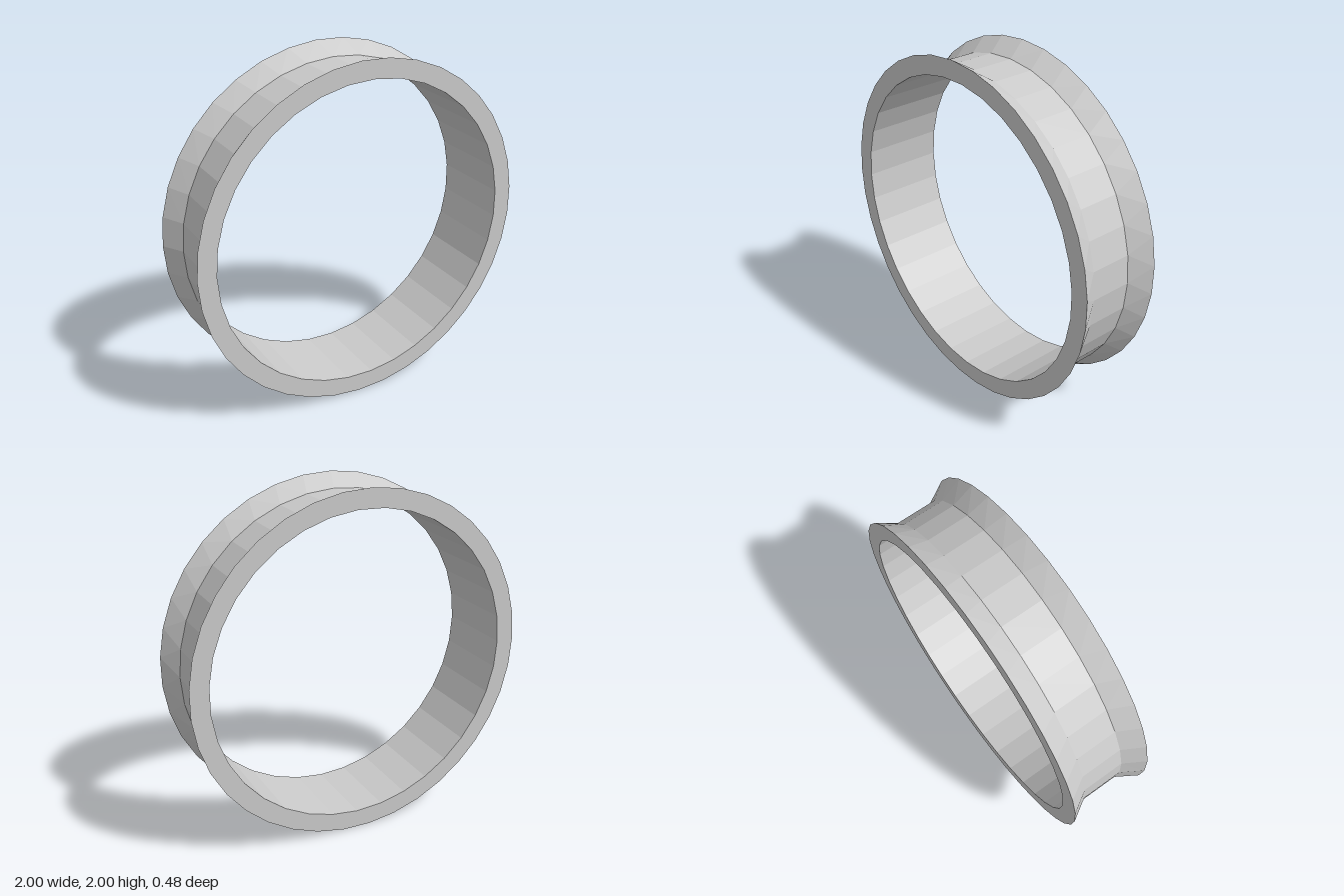
import * as THREE from 'three';

// Stitch two circular loops, which may differ in number of sides, into a faceted band
function band(a, b) {
  const point = (loop, i) => {
    const t = Math.PI + ((i % loop.sides) / loop.sides) * Math.PI * 2;
    return [loop.r * Math.cos(t), loop.r * Math.sin(t), loop.z];
  };
  const positions = [];
  let i = 0, j = 0;
  while (i < a.sides || j < b.sides) {
    const stepA = j === b.sides || (i < a.sides && (i + 1) / a.sides <= (j + 1) / b.sides);
    positions.push(...point(a, i), ...point(b, j));
    positions.push(...(stepA ? point(a, ++i) : point(b, ++j)));
  }
  const geometry = new THREE.BufferGeometry();
  geometry.setAttribute('position', new THREE.Float32BufferAttribute(positions, 3));
  geometry.computeVertexNormals();
  return geometry;
}

export function createModel() {
  const group = new THREE.Group();
  group.name = 'groovedRing';
  const material = new THREE.MeshStandardMaterial({ color: 0xcccccc, flatShading: true });

  // Closed cross-section; each entry is a loop and the band that follows it
  const halfWidth = 0.238, halfGroove = 0.12;
  const profile = [
    { r: 1.001, z: halfWidth, sides: 37, name: 'frontFlange' },
    { r: 0.93, z: halfGroove, sides: 36, name: 'grooveFloor' },
    { r: 0.93, z: -halfGroove, sides: 36, name: 'backFlange' },
    { r: 1.001, z: -halfWidth, sides: 37, name: 'backRim' },
    { r: 0.893, z: -halfWidth, sides: 35, name: 'bore' },
    { r: 0.893, z: halfWidth, sides: 35, name: 'frontRim' },
  ];
  profile.forEach((loop, k) => {
    const mesh = new THREE.Mesh(band(loop, profile[(k + 1) % profile.length]), material);
    mesh.name = loop.name;
    mesh.position.y = 1;
    group.add(mesh);
  });
  return group;
}
